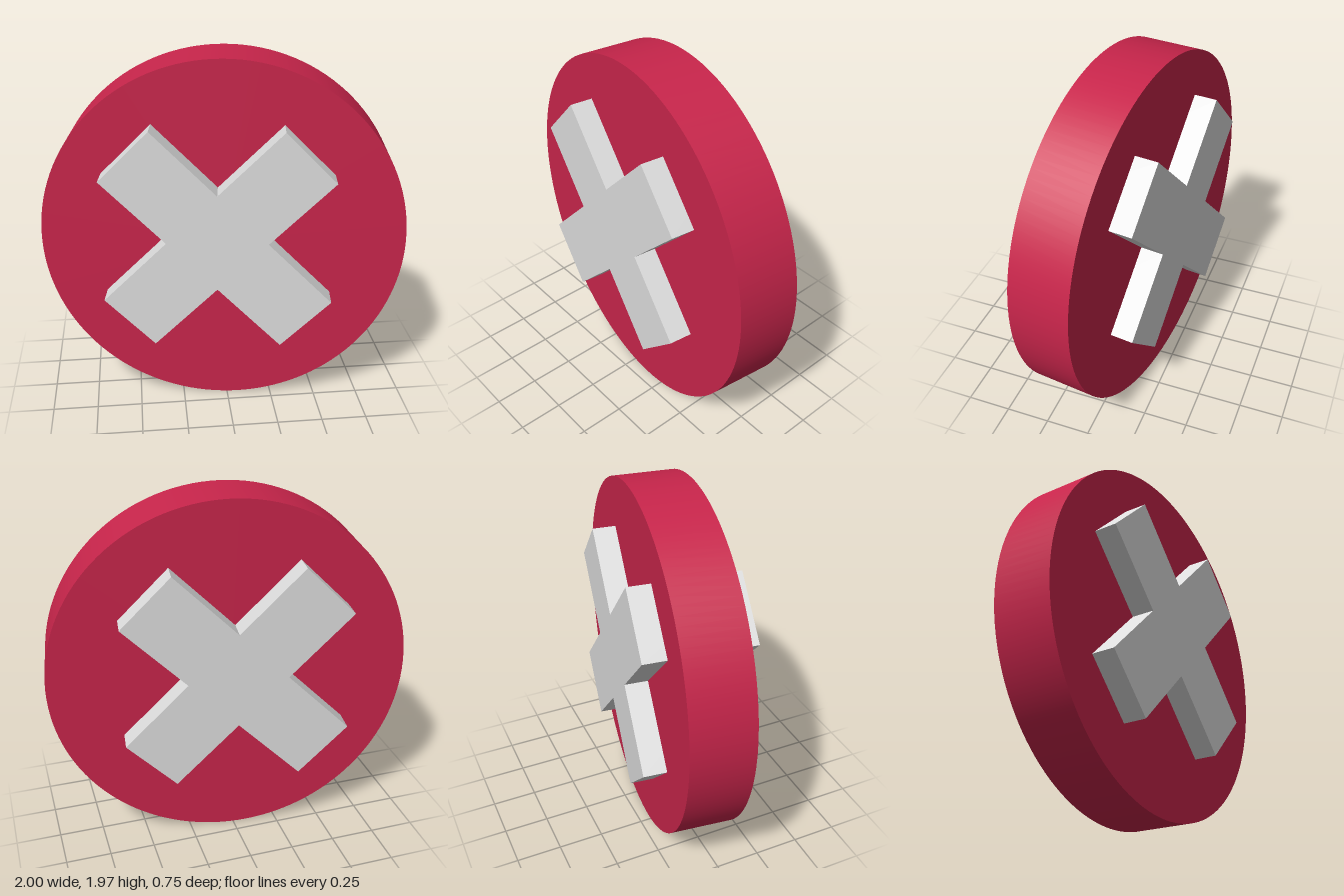
import * as THREE from 'three';

export function createModel() {
  const red = new THREE.MeshStandardMaterial({ color: 0xc8254b });
  red.name = 'crimson';
  const grey = new THREE.MeshStandardMaterial({ color: 0xdddddd });
  grey.name = 'lightGrey';

  const model = new THREE.Group();
  model.name = 'crossBadge';

  // Thick round disc standing on its rim
  const disc = new THREE.Mesh(new THREE.CylinderGeometry(0.986, 0.986, 0.34, 128), red);
  disc.name = 'disc';
  disc.rotation.x = Math.PI / 2;

  // Diagonal cross running through the disc and standing proud on both faces
  const L = 0.68, w = 0.192, depth = 0.595;
  const outline = [];
  for (let i = 0; i < 4; i++) {
    const a = Math.PI / 4 + i * Math.PI / 2;
    for (const [x, y] of [[L, -w], [L, w], [w, w]]) {
      outline.push(new THREE.Vector2(x, y).rotateAround(new THREE.Vector2(), a));
    }
  }
  const crossGeometry = new THREE.ExtrudeGeometry(new THREE.Shape(outline), { depth, bevelEnabled: false });
  crossGeometry.translate(0, 0, -depth / 2);
  const cross = new THREE.Mesh(crossGeometry, grey);
  cross.name = 'cross';
  cross.position.set(-0.028, 0.03, 0);

  // The whole badge is turned slightly about the vertical
  const badge = new THREE.Group();
  badge.name = 'badge';
  badge.add(disc, cross);
  badge.position.y = 0.986;
  badge.rotation.y = -0.127;
  model.add(badge);
  return model;
}
